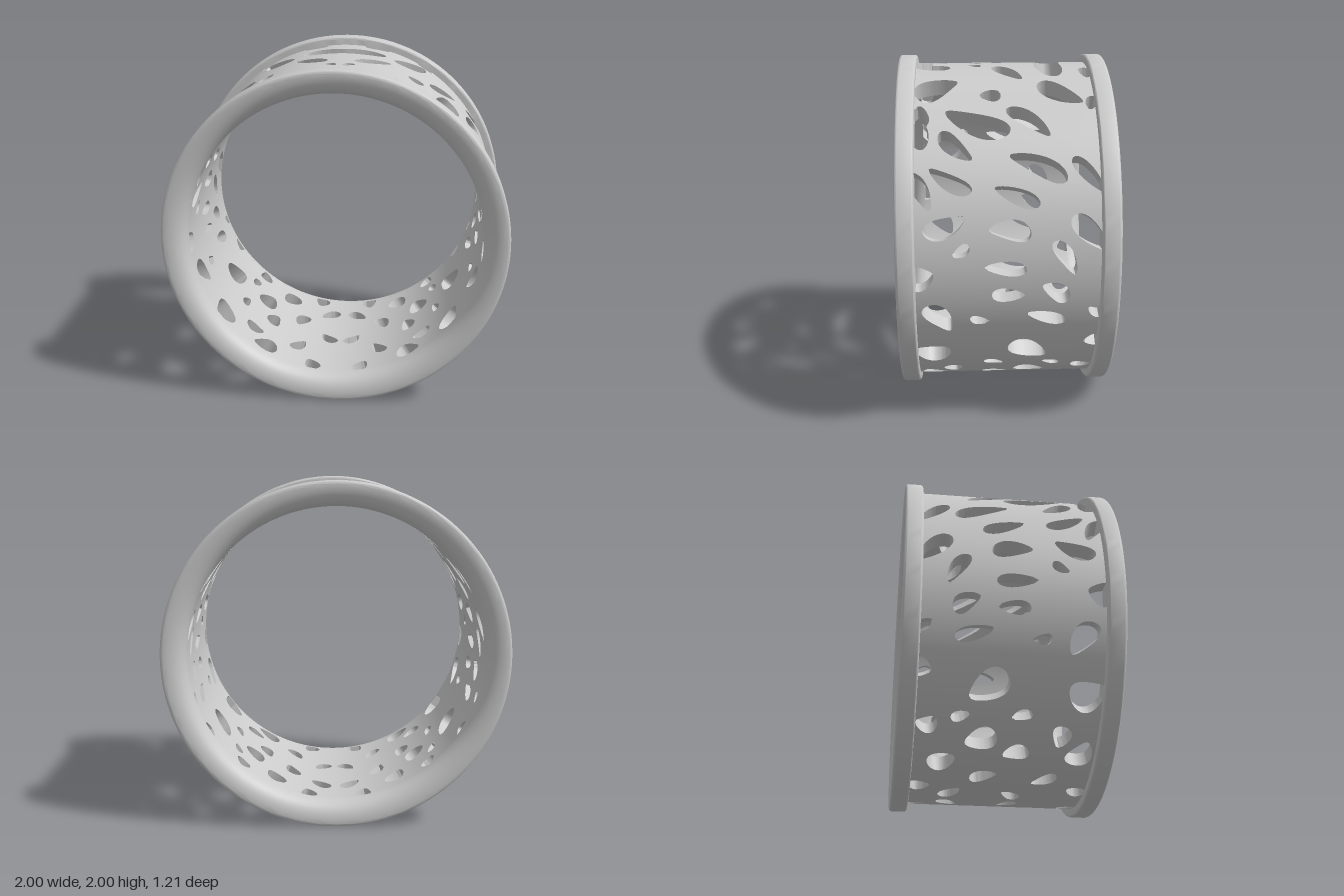
import * as THREE from 'three';
import { toCreasedNormals } from 'three/addons/utils/BufferGeometryUtils.js';

const OUTER = 0.95, INNER = 0.855, HALF = 0.5;
const RAD = Math.PI / 180;

// Openings of one half: [z, angle up from the side, half length, half width, tilt]; the other half mirrors them
const upperHoles = [
  [-0.28, 90, 0.26, 0.075, 90], [0.4, 83.5, 0.1, 0.05, 0], [0.46, 90, 0.13, 0.045, 90],
  [0.16, 87, 0.045, 0.028, -40], [-0.03, 78.5, 0.13, 0.05, -54], [-0.49, 78, 0.08, 0.05, 90],
  [0.38, 66, 0.14, 0.085, 40], [0.08, 62, 0.06, 0.05, 0], [-0.31, 63.5, 0.15, 0.07, -40],
  [-0.49, 58, 0.06, 0.04, 60], [0.47, 52, 0.08, 0.05, 90], [0.16, 49, 0.19, 0.075, -22],
];
const sideHoles = [
  [-0.13, 50, 0.15, 0.05, -40], [0.48, 44, 0.06, 0.08, 0], [0.28, 40, 0.12, 0.05, -45],
  [-0.17, 33, 0.17, 0.055, -25], [-0.44, 30, 0.13, 0.04, -50], [0.31, 28, 0.13, 0.045, -30],
  [0.47, 25, 0.12, 0.045, -60], [-0.05, 23, 0.13, 0.045, -22], [0.34, 13.4, 0.12, 0.055, 20],
  [-0.01, 12, 0.115, 0.055, -8], [-0.44, 11, 0.13, 0.055, -45], [0.255, 5.4, 0.055, 0.03, 35],
  [-0.31, 3, 0.11, 0.042, -58], [0.015, -0.5, 0.115, 0.04, -4], [0.47, -3.5, 0.07, 0.07, 0],
  [-0.26, -9, 0.085, 0.05, -35], [0, -10, 0.09, 0.04, 0], [-0.48, -17, 0.05, 0.03, -30],
  [0.375, -19, 0.11, 0.06, -50], [-0.21, -19, 0.11, 0.04, -15], [0.155, -20, 0.055, 0.028, -10],
];
const lowerHoles = [
  [-0.48, -31, 0.05, 0.05, 0], [-0.12, -36, 0.12, 0.08, -35], [0.42, -37.5, 0.1, 0.085, -15],
  [0.07, -45.5, 0.06, 0.03, -15], [-0.26, -46.5, 0.055, 0.03, -20], [-0.44, -50, 0.06, 0.05, 0],
  [0.3, -53, 0.07, 0.05, 90], [-0.14, -55, 0.09, 0.07, -20], [0.42, -59.5, 0.09, 0.065, -60],
  [0.06, -60, 0.075, 0.05, -10], [-0.34, -65, 0.08, 0.065, -30], [0.25, -73, 0.08, 0.04, -35],
  [-0.1, -72, 0.08, 0.045, -25], [0.45, -80, 0.06, 0.05, 30], [-0.45, -79, 0.06, 0.05, 0],
  [0.08, -85, 0.07, 0.04, 50], [-0.27, -84, 0.08, 0.045, -50],
];
const holes = [...upperHoles, ...sideHoles, ...lowerHoles];

// Positive on solid metal, negative inside a bent teardrop opening
function solidAt(theta, z) {
  let best = 1;
  for (const th of [theta, Math.PI - theta]) {
    holes.forEach(([hz, deg, a, b, tilt], i) => {
      const d = th - deg * RAD;
      const arc = Math.atan2(Math.sin(d), Math.cos(d)) * OUTER;
      const c = Math.cos(tilt * RAD), s = Math.sin(tilt * RAD);
      const u = ((hz - z) * c + arc * s) / a;
      const v = (arc * c - (hz - z) * s) / b;
      if (Math.abs(u) > 2 || Math.abs(v) > 4) return;
      const sign = i % 2 ? 1 : -1;
      const taper = Math.max(0.4, 1 + 0.35 * sign * u);
      const bend = (i % 3 - 1) * 0.3 * (u * u - 0.4);
      best = Math.min(best, (Math.hypot(u, (v - bend) / taper) - 1) * b);
    });
  }
  return best;
}

// Cylindrical wall, clipped along the outlines of the openings
function bandGeometry(nTheta = 320, nZ = 54) {
  const pos = [];
  const put = (p, r) => pos.push(Math.cos(p.t) * r, Math.sin(p.t) * r, p.z);
  const grid = [];
  for (let i = 0; i <= nTheta; i++) {
    grid.push([]);
    for (let j = 0; j <= nZ; j++) {
      const t = i / nTheta * Math.PI * 2, z = (j / nZ * 2 - 1) * HALF;
      grid[i].push({ t, z, f: solidAt(t, z) });
    }
  }
  const clip = (tri) => {
    const poly = [];
    let leave = null, enter = null;
    tri.forEach((p, k) => {
      const q = tri[(k + 1) % 3];
      if (p.f >= 0) poly.push(p);
      if ((p.f >= 0) !== (q.f >= 0)) {
        const w = THREE.MathUtils.clamp(p.f / (p.f - q.f), 0.01, 0.99);
        const m = { t: p.t + (q.t - p.t) * w, z: p.z + (q.z - p.z) * w };
        poly.push(m);
        if (p.f >= 0) leave = m; else enter = m;
      }
    });
    for (let k = 1; k + 1 < poly.length; k++) {
      [poly[0], poly[k], poly[k + 1]].forEach((p) => put(p, OUTER));
      [poly[0], poly[k + 1], poly[k]].forEach((p) => put(p, INNER));
    }
    // Wall of the opening through the thickness
    if (leave) {
      put(leave, OUTER); put(leave, INNER); put(enter, INNER);
      put(leave, OUTER); put(enter, INNER); put(enter, OUTER);
    }
  };
  for (let i = 0; i < nTheta; i++) {
    for (let j = 0; j < nZ; j++) {
      const a = grid[i][j], b = grid[i + 1][j], c = grid[i + 1][j + 1], d = grid[i][j + 1];
      clip([a, b, c]);
      clip([a, c, d]);
    }
  }
  const geo = new THREE.BufferGeometry();
  geo.setAttribute('position', new THREE.Float32BufferAttribute(pos, 3));
  return toCreasedNormals(geo, 0.7);
}

// Rim section: flat outside with small fillets, domed into the bore
function rimGeometry() {
  const s = new THREE.Shape();
  s.moveTo(INNER, 0.5);
  s.lineTo(0.982, 0.5);
  s.quadraticCurveTo(1, 0.5, 1, 0.518);
  s.lineTo(1, 0.585);
  s.quadraticCurveTo(1, 0.605, 0.975, 0.605);
  s.bezierCurveTo(0.91, 0.605, INNER, 0.57, INNER, 0.5);
  return toCreasedNormals(new THREE.LatheGeometry(s.getPoints(10), 128), 0.6);
}

export function createModel() {
  const model = new THREE.Group();
  model.name = 'perforatedRing';
  const metal = new THREE.MeshStandardMaterial({ color: 0xcccccc });

  const band = new THREE.Mesh(bandGeometry(), metal);
  band.name = 'perforatedBand';
  band.position.y = 1;
  model.add(band);

  const rim = rimGeometry();
  for (const side of [1, -1]) {
    const mesh = new THREE.Mesh(rim, metal);
    mesh.name = side > 0 ? 'frontRim' : 'backRim';
    mesh.rotation.x = side * Math.PI / 2;
    mesh.position.y = 1;
    model.add(mesh);
  }
  return model;
}
